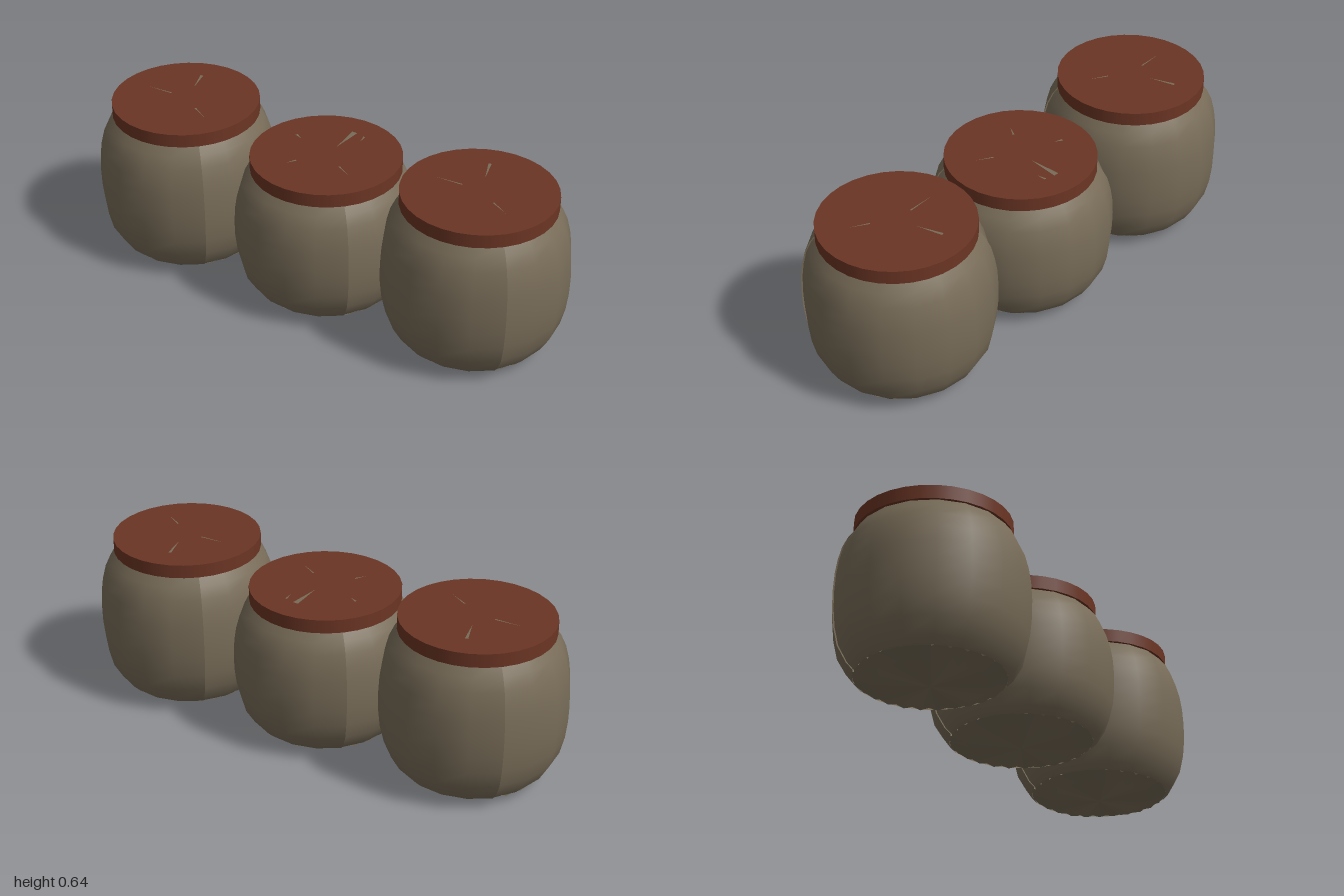
import * as THREE from 'three';

const clay = new THREE.MeshStandardMaterial({ color: 0x786c58, side: THREE.DoubleSide });
clay.name = 'grey brown clay';
const rust = new THREE.MeshStandardMaterial({ color: 0x6b3524 });
rust.name = 'rust red lid';

// Jar wall profile: [radius, height]
const PROFILE = [
  [0.272, 0.035], [0.296, 0.06], [0.33, 0.12], [0.346, 0.19], [0.353, 0.26], [0.354, 0.33],
  [0.35, 0.4], [0.342, 0.455], [0.328, 0.51], [0.307, 0.555], [0.275, 0.598],
];

// One half of the wall; its radius drifts so the halves overlap at a stepped seam
function halfWall(start) {
  const steps = 9, rows = PROFILE.length, pos = [], index = [];
  for (let i = 0; i <= steps; i++) {
    const t = i / steps, a = start + t * Math.PI, s = 1.008 - 0.016 * t;
    PROFILE.forEach(([r, y]) => pos.push(r * s * Math.cos(a), y, r * s * Math.sin(a)));
  }
  for (let i = 0; i < steps; i++) {
    for (let j = 0; j < rows - 1; j++) {
      const p = i * rows + j, q = p + rows;
      index.push(p, p + 1, q, p + 1, q + 1, q);
    }
  }
  const g = new THREE.BufferGeometry();
  g.setAttribute('position', new THREE.Float32BufferAttribute(pos, 3));
  g.setIndex(index);
  g.computeVertexNormals();
  return g;
}

// Underside gathered into radial folds, with a ragged rim
function pleatedBase() {
  const n = 54, pos = [];
  const ring = (k, radius, y, dr, dy) => {
    const i = k % n, a = (i / n) * Math.PI * 2;
    const wobble = Math.sin(i * 2.7) * 0.5;
    const fold = (i % 2 ? 1 : -1) + wobble;
    const r = radius + dr * fold;
    return [r * Math.cos(a), y + dy * fold, r * Math.sin(a)];
  };
  const centre = [0, 0.003, 0];
  for (let i = 0; i < n; i++) {
    const m0 = ring(i, 0.205, 0.014, 0.006, 0.006), m1 = ring(i + 1, 0.205, 0.014, 0.006, 0.006);
    const o0 = ring(i, 0.272, 0.038, 0.004, 0.006), o1 = ring(i + 1, 0.272, 0.038, 0.004, 0.006);
    pos.push(...centre, ...m0, ...m1, ...m0, ...o0, ...o1, ...m0, ...o1, ...m1);
  }
  const g = new THREE.BufferGeometry();
  g.setAttribute('position', new THREE.Float32BufferAttribute(pos, 3));
  g.computeVertexNormals();
  return g;
}

// Thin wedge lying on the lid, from a wide end to a point
function sliver(x0, z0, x1, z1, width) {
  const dx = x1 - x0, dz = z1 - z0, k = width / 2 / Math.hypot(dx, dz);
  const g = new THREE.BufferGeometry();
  g.setAttribute('position', new THREE.Float32BufferAttribute([
    x0 - dz * k, 0, z0 + dx * k, x1, 0, z1, x0 + dz * k, 0, z0 - dx * k,
  ], 3));
  g.computeVertexNormals();
  return g;
}

// Clay slivers showing through the lids: x0, z0, x1, z1, width
const SIDE_SLIVERS = [
  [-0.05, -0.18, -0.02, -0.08, 0.012],
  [-0.07, 0, -0.18, 0.004, 0.006],
  [0.08, 0.05, 0.15, 0.09, 0.006],
];
const MIDDLE_SLIVERS = [
  [0.012, -0.19, 0.008, -0.06, 0.022],
  [0.06, -0.18, 0.065, -0.14, 0.008],
  [-0.17, -0.06, -0.14, -0.045, 0.01],
  [-0.07, 0.1, -0.095, 0.14, 0.008],
  [0.09, 0.055, 0.15, 0.09, 0.006],
];

function jar(name, x, heightScale, slivers) {
  const group = new THREE.Group();
  group.name = name;
  group.position.x = x;
  const add = (part, geometry, material) => {
    const mesh = new THREE.Mesh(geometry, material);
    mesh.name = part;
    group.add(mesh);
    return mesh;
  };

  // Body: two wall halves and the folded underside
  const seam = Math.PI / 4;
  add('wallBack', halfWall(seam + Math.PI), clay).scale.y = heightScale;
  add('wallFront', halfWall(seam), clay).scale.y = heightScale;
  add('pleatedBase', pleatedBase(), clay).scale.y = heightScale;

  // Flat lid
  const lidBottom = 0.59 * heightScale, thick = 0.053;
  add('lid', new THREE.CylinderGeometry(0.29, 0.29, thick, 32), rust).position.y = lidBottom + thick / 2;
  slivers.forEach((s) => {
    add('lidSliver', sliver(...s), clay).position.y = lidBottom + thick + 0.002;
  });
  return group;
}

export function createModel() {
  const model = new THREE.Group();
  model.name = 'threeJars';
  model.add(jar('rightJar', -0.645, 1, SIDE_SLIVERS));
  model.add(jar('middleJar', 0, 0.912, MIDDLE_SLIVERS));
  model.add(jar('leftJar', 0.645, 1, SIDE_SLIVERS));
  return model;
}
